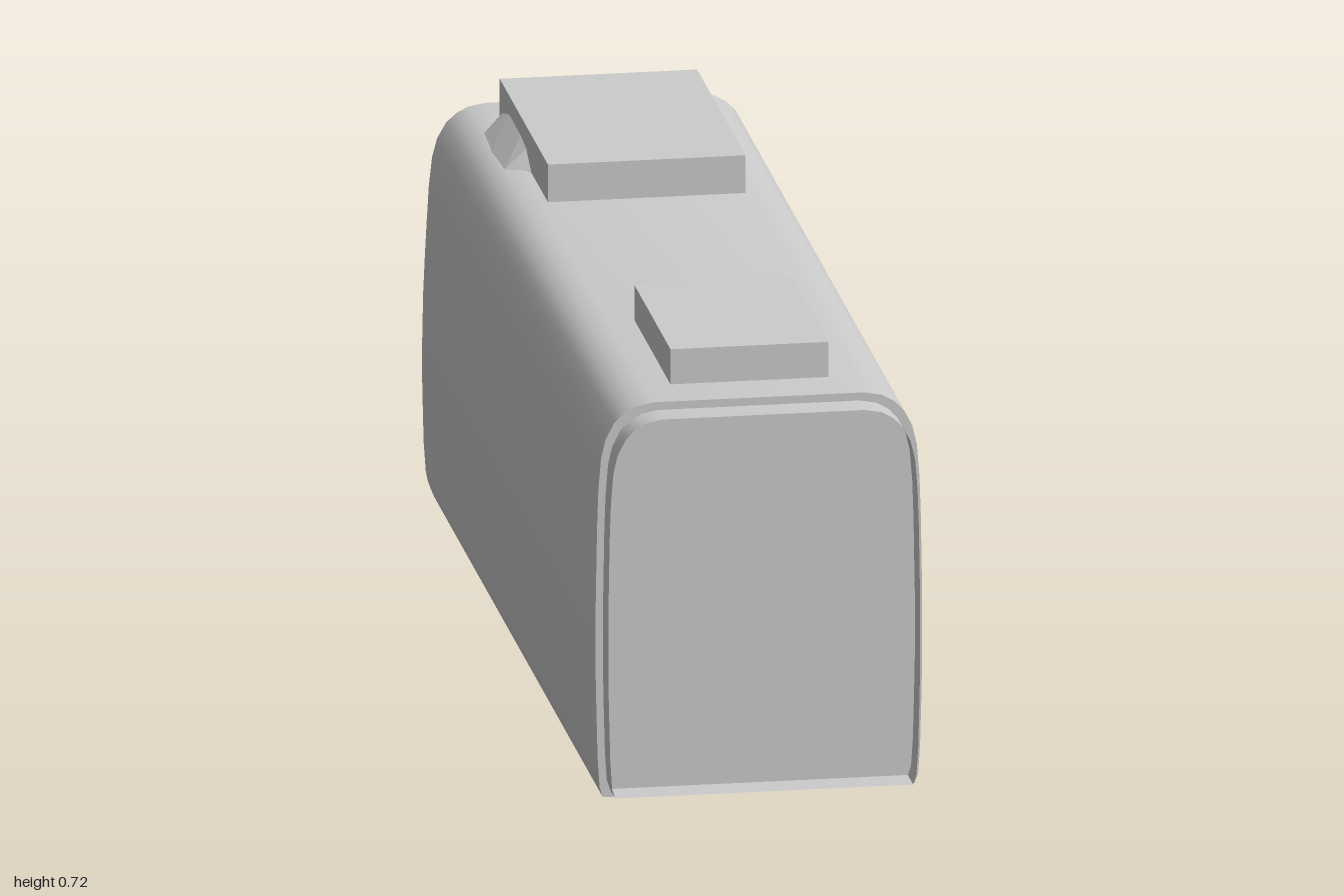
import * as THREE from 'three';
import { toCreasedNormals } from 'three/addons/utils/BufferGeometryUtils.js';
import { ConvexGeometry } from 'three/addons/geometries/ConvexGeometry.js';

// Rows from floor to roof: height, half width, nose length at that height
const ROWS = [
  [0.05, 0.237, 0.365], [0.065, 0.242, 0.373], [0.11, 0.245, 0.38], [0.19, 0.247, 0.38],
  [0.24, 0.248, 0.374], [0.29, 0.248, 0.354], [0.35, 0.248, 0.322], [0.41, 0.247, 0.282],
  [0.47, 0.246, 0.234], [0.53, 0.244, 0.178], [0.58, 0.24, 0.118], [0.61, 0.233, 0.08],
  [0.635, 0.22, 0.047], [0.65, 0.205, 0.025], [0.66, 0.187, 0.009], [0.665, 0.16, 0],
];
const NOSE_Z = -0.62;
const END_Z = 0.95;

// Closed outline of the carriage section
function sectionPoints() {
  const right = ROWS.map(([y, w]) => new THREE.Vector2(w, y));
  const left = ROWS.map(([y, w]) => new THREE.Vector2(-w, y)).reverse();
  return [...right, ...left];
}

// Nose: half-ellipse plans stacked over the height, with a flat floor
function noseGeometry() {
  const n = 28, pos = [], idx = [];
  for (const [y, w, len] of ROWS) {
    for (let i = 0; i <= n; i++) {
      const a = Math.PI * i / n;
      pos.push(w * Math.cos(a), y, NOSE_Z - len * Math.pow(Math.sin(a), 0.95));
    }
  }
  const stride = n + 1;
  for (let r = 0; r < ROWS.length - 1; r++) {
    for (let i = 0; i < n; i++) {
      const a = r * stride + i, b = a + 1, c = a + stride, d = c + 1;
      idx.push(a, b, c, b, d, c);
    }
  }
  const centre = pos.length / 3;
  pos.push(0, ROWS[0][0], NOSE_Z);
  for (let i = 0; i < n; i++) idx.push(centre, i + 1, i);
  const geo = new THREE.BufferGeometry();
  geo.setAttribute('position', new THREE.Float32BufferAttribute(pos, 3));
  geo.setIndex(idx);
  return toCreasedNormals(geo, 0.7);
}

// Open sleeve at the coupling end, slightly smaller than the body
function sleeveGeometry() {
  const pts = sectionPoints(), pos = [], idx = [];
  for (const p of pts) {
    const x = p.x * 0.955, y = 0.358 + (p.y - 0.358) * 0.96;
    pos.push(x, y, END_Z, x, y, 1);
  }
  for (let i = 0; i < pts.length; i++) {
    const a = 2 * i, b = 2 * ((i + 1) % pts.length);
    idx.push(a, b, a + 1, b, b + 1, a + 1);
  }
  const geo = new THREE.BufferGeometry();
  geo.setAttribute('position', new THREE.Float32BufferAttribute(pos, 3));
  geo.setIndex(idx);
  return toCreasedNormals(geo, 0.7);
}

export function createModel() {
  const model = new THREE.Group();
  model.name = 'trainCar';
  const grey = new THREE.MeshStandardMaterial({ color: 0xcccccc });
  grey.name = 'lightGrey';
  grey.side = THREE.DoubleSide;

  const add = (name, geo, x = 0, y = 0, z = 0) => {
    const mesh = new THREE.Mesh(geo, grey);
    mesh.name = name;
    mesh.position.set(x, y, z);
    model.add(mesh);
    return mesh;
  };

  // Carriage body, nose and end sleeve
  const body = new THREE.ExtrudeGeometry(new THREE.Shape(sectionPoints()),
    { depth: END_Z - NOSE_Z, bevelEnabled: false });
  add('body', toCreasedNormals(body, 0.7), 0, 0, NOSE_Z);
  add('nose', noseGeometry());
  add('endSleeve', sleeveGeometry());

  // Roof units
  add('frontRoofUnit', new THREE.BoxGeometry(0.3, 0.07, 0.45), 0, 0.689, -0.322);
  add('rearRoofUnit', new THREE.BoxGeometry(0.24, 0.07, 0.335), 0, 0.685, 0.695);

  // Sloped fairing around the front roof unit
  const fairing = [];
  for (const s of [-1, 1]) {
    for (const [x, y, z] of [
      [0.15, 0.66, -0.24], [0.185, 0.66, -0.29], [0.193, 0.655, -0.38], [0.185, 0.66, -0.48],
      [0.15, 0.66, -0.55], [0.12, 0.664, -0.62], [0.15, 0.688, -0.3],
      [0.15, 0.694, -0.35], [0.15, 0.694, -0.46], [0.13, 0.688, -0.545],
    ]) fairing.push(new THREE.Vector3(s * x, y, z));
  }
  add('roofFairing', new ConvexGeometry(fairing));

  // Wheels
  for (const x of [-0.142, 0.142]) {
    for (const z of [-0.34, -0.68]) {
      const wheel = new THREE.CylinderGeometry(0.052, 0.052, 0.018, 8);
      wheel.rotateZ(Math.PI / 2);
      add('wheel', wheel, x, 0.052, z);
    }
  }
  return model;
}
